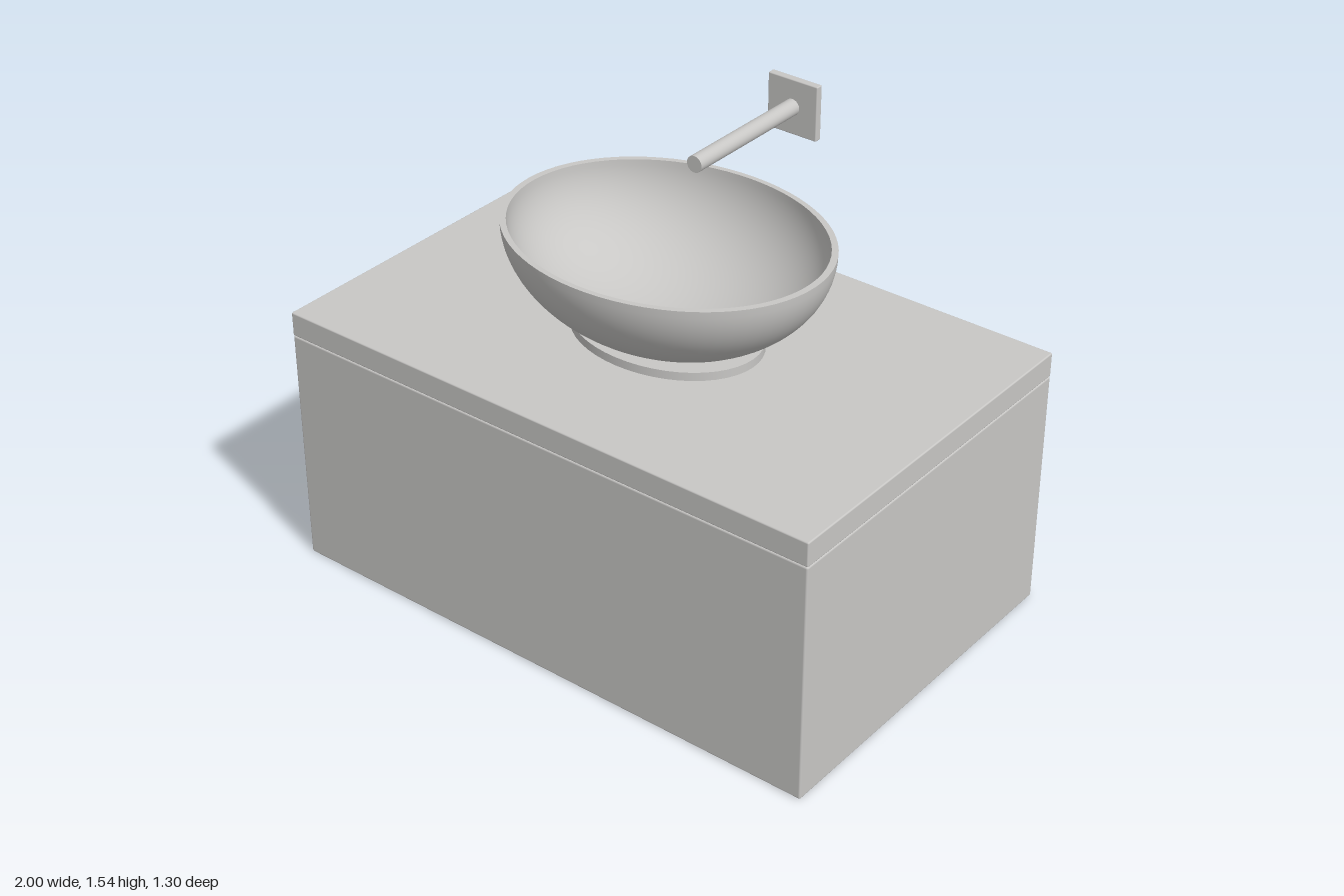
import * as THREE from 'three';
import { RoundedBoxGeometry } from 'three/addons/geometries/RoundedBoxGeometry.js';

export function createModel() {
  const model = new THREE.Group();
  const grey = new THREE.MeshStandardMaterial({ color: 0xc8c7c5 });
  grey.name = 'light grey';

  const add = (parent, name, geometry, x, y, z) => {
    const mesh = new THREE.Mesh(geometry, grey);
    mesh.name = name;
    mesh.position.set(x, y, z);
    parent.add(mesh);
    return mesh;
  };

  // Cabinet and counter, with slightly eased edges
  const midZ = 0.0125, depth = 1.275;
  add(model, 'cabinet', new RoundedBoxGeometry(2, 0.836, depth, 2, 0.007), 0, 0.418, midZ);
  add(model, 'countertop', new RoundedBoxGeometry(2, 0.084, depth, 2, 0.005), 0, 0.878, midZ);

  // Oval basin: profiles are revolved, then squeezed in depth
  const basin = new THREE.Group();
  basin.name = 'basin';
  basin.position.z = midZ;
  model.add(basin);
  const squeeze = 0.443 / 0.553, rimY = 1.28;

  const shell = (name, points) =>
    add(basin, name, new THREE.LatheGeometry(points, 72).scale(1, 1, squeeze), 0, 0, 0);

  // Quarter ellipse from near the bottom (angle from) up to the rim (angle to)
  const arc = (radius, drop, from, to, n = 24) => {
    const points = [];
    for (let i = 0; i <= n; i++) {
      const a = from + (to - from) * i / n;
      points.push(new THREE.Vector2(radius * Math.sin(a), rimY - drop * Math.cos(a)));
    }
    return points;
  };

  const half = Math.PI / 2;
  shell('bowlOutside', arc(0.553, 0.362, 0, half));
  shell('bowlRim', [new THREE.Vector2(0.553, rimY), new THREE.Vector2(0.531, rimY)]);
  const inside = arc(0.531, 0.335, half, 0.115);
  shell('bowlInside', inside);
  // Flat drain at the bottom of the bowl
  const end = inside[inside.length - 1];
  shell('drain', [end, new THREE.Vector2(0, end.y)]);

  // Oval foot under the bowl
  add(basin, 'foot', new THREE.CylinderGeometry(0.333, 0.333, 0.03, 48).scale(1, 1, 0.25 / 0.333), 0, 0.934, 0);

  // Wall-mounted tap: square plate and straight spout
  const tap = new THREE.Group();
  tap.name = 'tap';
  tap.position.set(-0.004, 1.447, 0);
  model.add(tap);
  add(tap, 'wallPlate', new RoundedBoxGeometry(0.19, 0.19, 0.026, 2, 0.004), 0, 0, -0.64);
  add(tap, 'spout', new THREE.CylinderGeometry(0.028, 0.028, 0.51, 32).rotateX(half), 0, 0, -0.38);

  return model;
}
